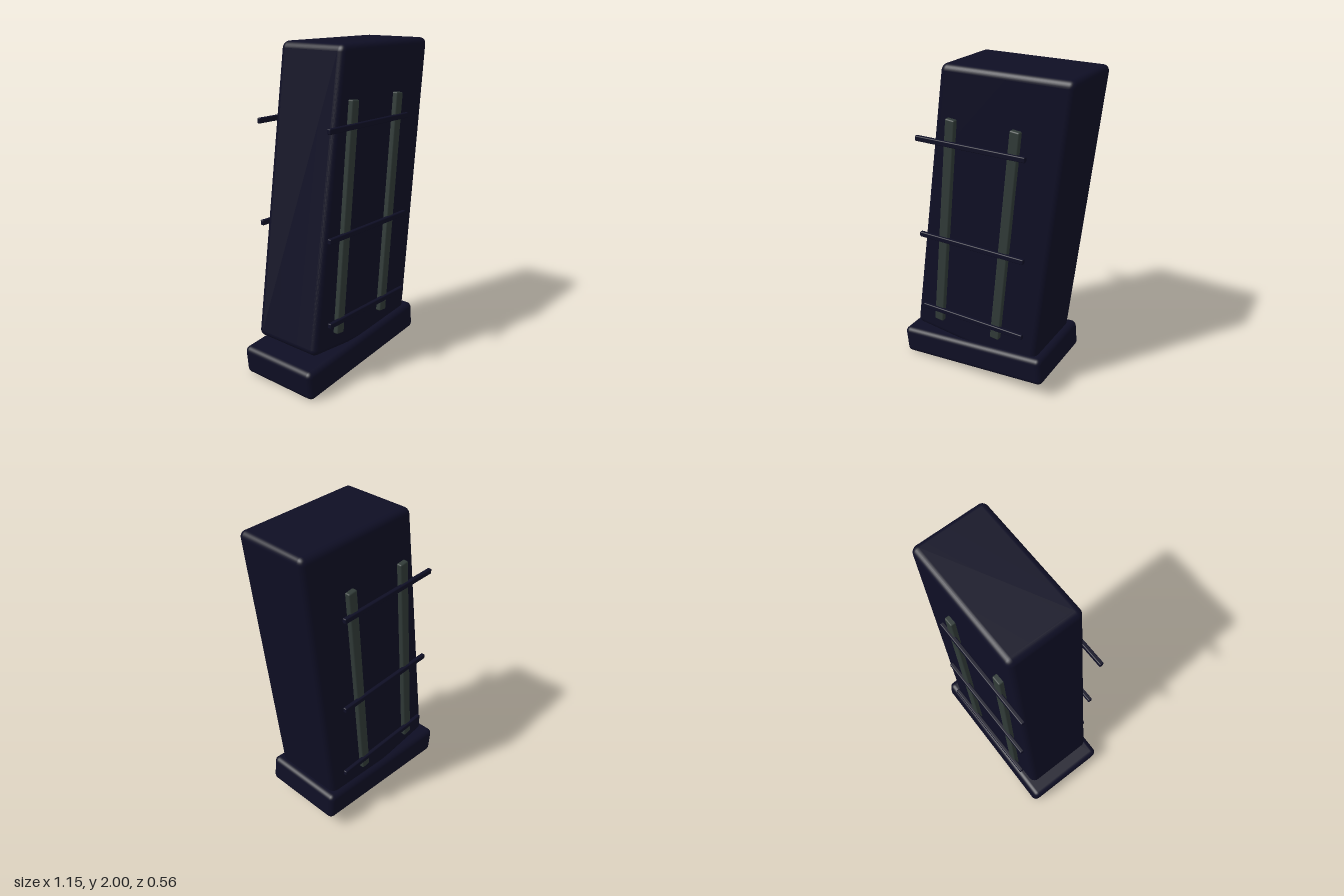
import * as THREE from 'three';
import { mergeVertices } from 'three/addons/utils/BufferGeometryUtils.js';
import { RoundedBoxGeometry } from 'three/addons/geometries/RoundedBoxGeometry.js';

const { lerp } = THREE.MathUtils;

// Rounded box whose front outline is bent to four corners [x, y]
function roundedQuad(bl, br, tr, tl, depth, radius) {
  const w = 0.85, h = 1.8;
  const geo = new RoundedBoxGeometry(w, h, depth, 4, radius);
  const p = geo.attributes.position;
  for (let i = 0; i < p.count; i++) {
    const u = p.getX(i) / w + 0.5, v = p.getY(i) / h + 0.5;
    p.setXY(i,
      lerp(lerp(bl[0], br[0], u), lerp(tl[0], tr[0], u), v),
      lerp(lerp(bl[1], br[1], u), lerp(tl[1], tr[1], u), v));
  }
  geo.deleteAttribute('normal');
  geo.deleteAttribute('uv');
  const smooth = mergeVertices(geo, 1e-4);
  smooth.computeVertexNormals();
  return smooth;
}

export function createModel() {
  const group = new THREE.Group();
  const navy = new THREE.MeshStandardMaterial({ color: 0x0e0e24 });
  navy.name = 'dark navy';
  const grey = new THREE.MeshStandardMaterial({ color: 0x303a37 });
  grey.name = 'green grey';

  const add = (name, geo, mat, x = 0, y = 0, z = 0, tilt = 0) => {
    const mesh = new THREE.Mesh(geo, mat);
    mesh.name = name;
    mesh.position.set(x, y, z);
    mesh.rotation.z = tilt;
    group.add(mesh);
  };

  // Leaning, tapered body
  add('body', roundedQuad([-0.495, 0.24], [0.385, 0.15], [0.578, 2], [-0.237, 2], 0.47, 0.04), navy);

  // Tilted foot
  add('basePlate', new RoundedBoxGeometry(1.03, 0.183, 0.545, 4, 0.035), navy, -0.06, 0.139, 0, 0.1);

  // Ribs and cross bars on both broad faces
  const rib = new RoundedBoxGeometry(0.062, 1.37, 0.05, 2, 0.008);
  const bar = new RoundedBoxGeometry(0.725, 0.032, 0.025, 2, 0.006);
  for (const side of [1, -1]) {
    const face = side > 0 ? 'front' : 'back';
    for (const x of [-0.229, 0.186]) add(face + 'Rib', rib, grey, x, 1.017, side * 0.24, -0.096);
    for (const y of [1.555, 0.936, 0.42]) add(face + 'CrossBar', bar, navy, -0.038, y, side * 0.267);
  }
  return group;
}
